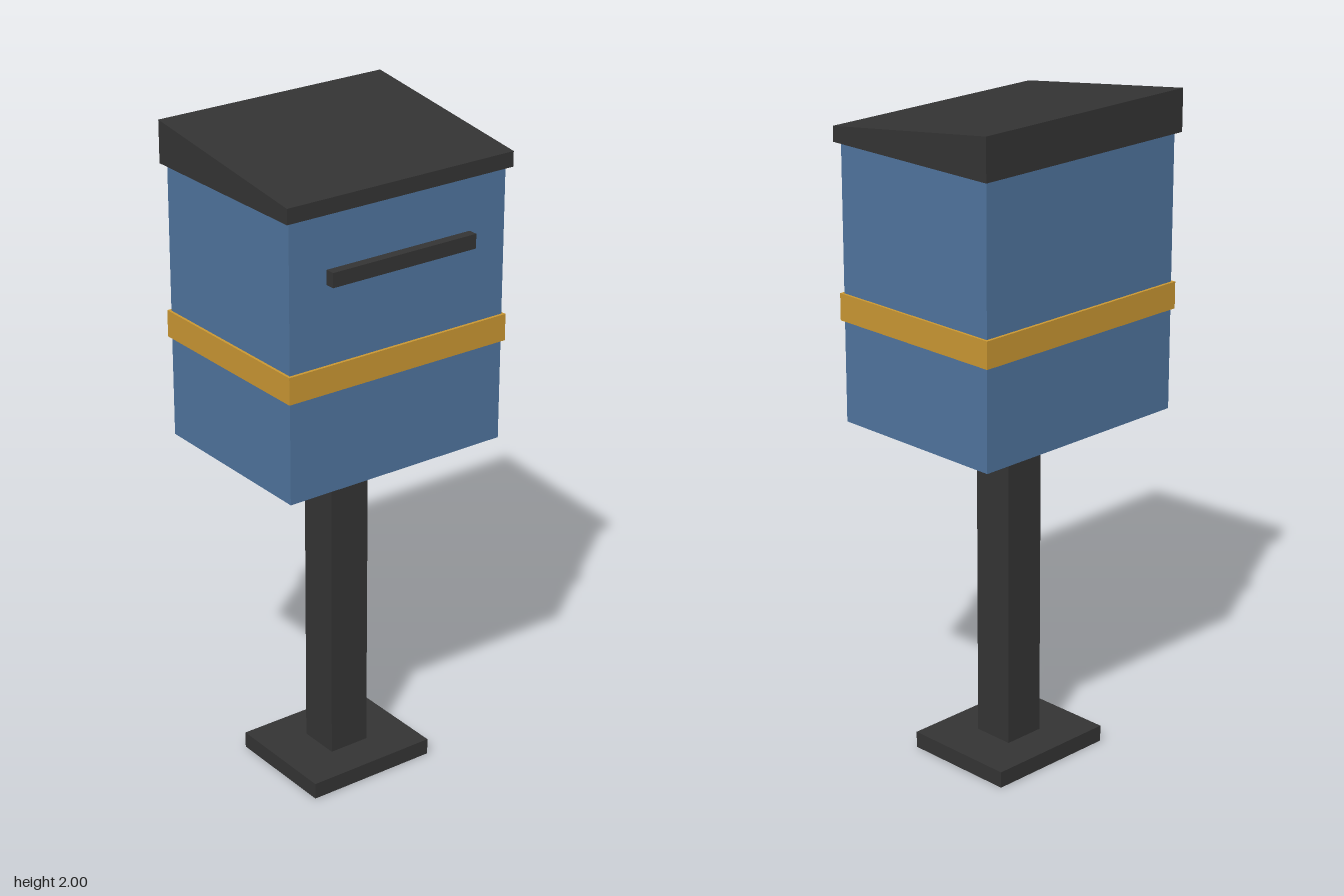
import * as THREE from 'three';

export function createModel() {
  const model = new THREE.Group();
  model.name = 'postBox';

  const material = (name, color) => {
    const m = new THREE.MeshStandardMaterial({ color });
    m.name = name;
    return m;
  };
  const blue = material('blue paint', 0x50759f);
  const dark = material('dark metal', 0x343434);
  const gold = material('gold band', 0xcb9833);

  const midZ = -0.007; // shared centre line of the stacked parts

  const add = (name, geometry, mat) => {
    const mesh = new THREE.Mesh(geometry, mat);
    mesh.name = name;
    model.add(mesh);
    return mesh;
  };

  // Box given by width, depth and its bottom and top heights
  const block = (name, w, d, y0, y1, mat, z = midZ) =>
    add(name, new THREE.BoxGeometry(w, y1 - y0, d), mat).position.set(0, (y0 + y1) / 2, z);

  // Stand
  block('basePlate', 0.42, 0.36, 0, 0.05, dark);
  block('post', 0.13, 0.13, 0.05, 1.057, dark);

  // Letter box with its band and slot
  block('body', 0.73, 0.57, 1.057, 1.875, blue);
  block('band', 0.746, 0.588, 1.36, 1.44, gold);
  block('slot', 0.486, 0.04, 1.672, 1.715, dark, 0.287);

  // Wedge roof, low at the front and high at the back
  const width = 0.76;
  const front = 0.293, back = -0.307;
  const profile = new THREE.Shape([
    new THREE.Vector2(back, 1.875),
    new THREE.Vector2(front, 1.875),
    new THREE.Vector2(front, 1.92),
    new THREE.Vector2(back, 2),
  ]);
  const roof = new THREE.ExtrudeGeometry(profile, { depth: width, bevelEnabled: false });
  roof.translate(0, 0, -width / 2).rotateY(-Math.PI / 2);
  add('roof', roof, dark);

  return model;
}
